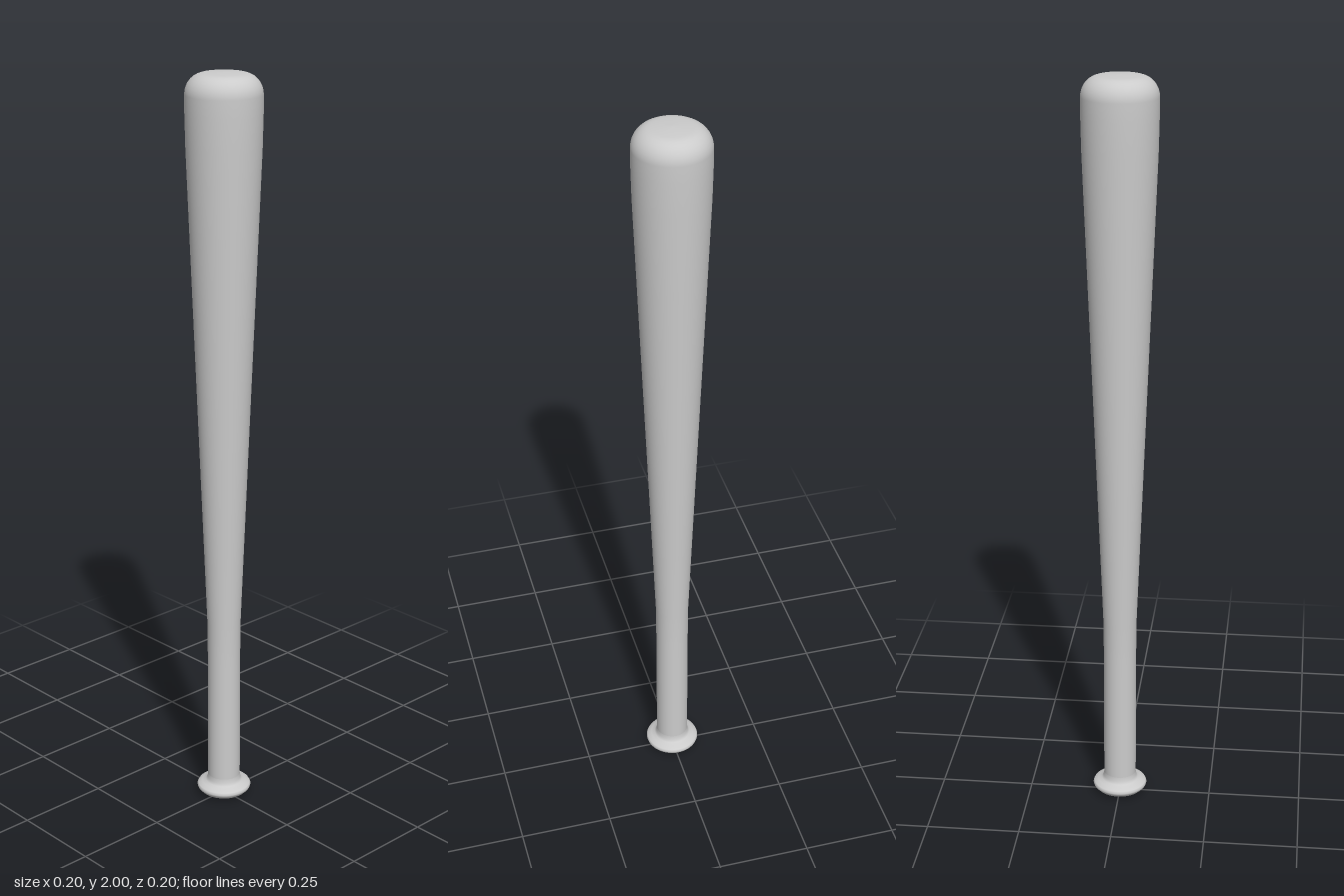
import * as THREE from 'three';

const material = new THREE.MeshStandardMaterial({ color: 0xcccccc });

// Turned part from [radius, height] pairs, listed bottom to top
function turned(name, profile) {
  const points = profile.map(([r, y]) => new THREE.Vector2(r, y));
  const mesh = new THREE.Mesh(new THREE.LatheGeometry(points, 48), material);
  mesh.name = name;
  return mesh;
}

export function createModel() {
  const group = new THREE.Group();
  group.name = 'bat';

  // Flared knob at the grip end, blending into the handle
  group.add(turned('knob', [
    [0, 0], [0.03, 0.001], [0.05, 0.005], [0.064, 0.012], [0.072, 0.02],
    [0.074, 0.026], [0.071, 0.032], [0.06, 0.037], [0.05, 0.041], [0.045, 0.048], [0.044, 0.06],
  ]));

  // Straight handle easing into the long tapered barrel
  const body = [[0.044, 0.06], [0.044, 0.2], [0.044, 0.4], [0.045, 0.52]];
  for (let i = 1; i <= 6; i++) body.push([0.045 + 0.0085 * i, 0.52 + 0.215 * i]);
  body.push([0.098, 1.9]);

  // Rounded shoulder and slightly domed end
  for (let i = 0; i <= 8; i++) {
    const a = (i / 8) * Math.PI / 2;
    body.push([0.05 + 0.048 * Math.cos(a), 1.945 + 0.052 * Math.sin(a)]);
  }
  body.push([0.03, 1.999], [0, 2]);
  group.add(turned('handleAndBarrel', body));

  return group;
}
